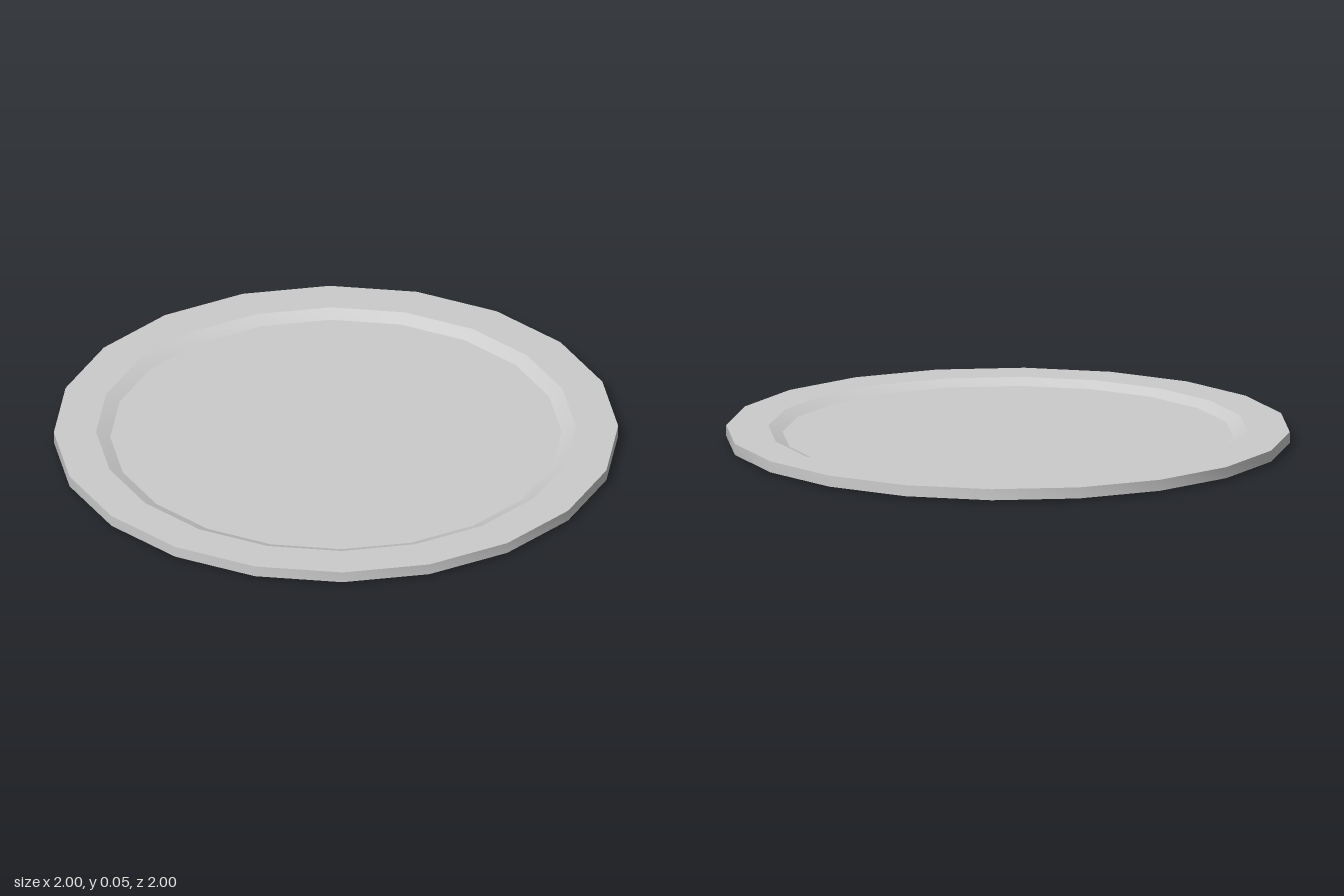
import * as THREE from 'three';
import { toCreasedNormals } from 'three/addons/utils/BufferGeometryUtils.js';

export function createModel() {
  const group = new THREE.Group();
  group.name = 'plate';

  // Closed profile: underside, foot step, outer edge, rim, sloped wall, floor
  const profile = [
    [0, 0], [0.8, 0], [0.8, 0.01], [1, 0.01],
    [1, 0.05], [0.85, 0.05], [0.8, 0.028], [0, 0.028],
  ].map(([r, y]) => new THREE.Vector2(r, y));

  // Twenty sides, smooth around the plate and sharp across the profile
  const geometry = toCreasedNormals(new THREE.LatheGeometry(profile, 20), 0.34);
  const dish = new THREE.Mesh(geometry, new THREE.MeshStandardMaterial({ color: 0xcccccc }));
  dish.name = 'dish';
  group.add(dish);

  return group;
}
